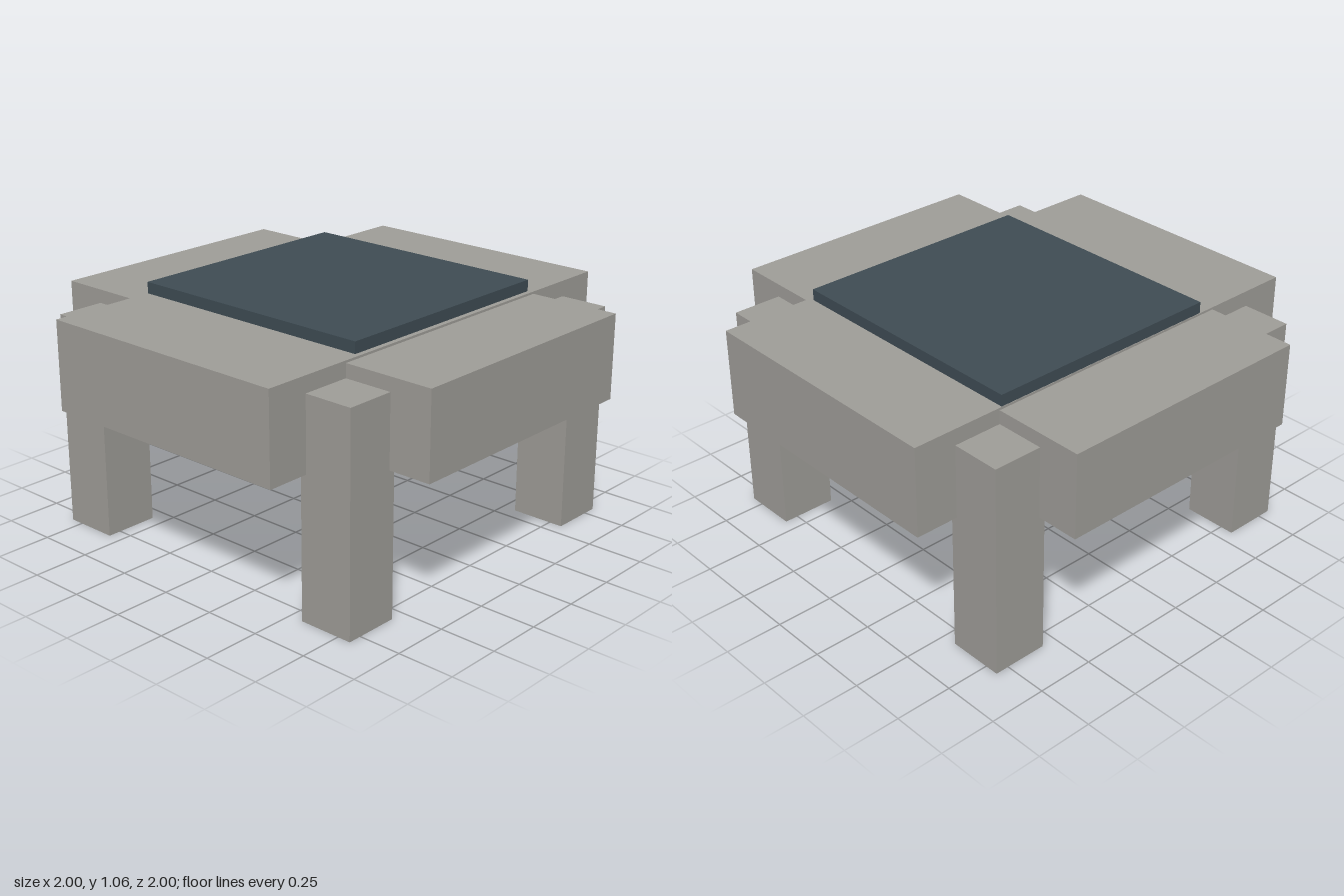
import * as THREE from 'three';

export function createModel() {
  const model = new THREE.Group();
  const stone = new THREE.MeshStandardMaterial({ name: 'warmGrey', color: 0xa09e99 });
  const slate = new THREE.MeshStandardMaterial({ name: 'darkSlate', color: 0x3f4c54 });

  // Box given by its lower and upper corners
  function block(name, material, [x0, y0, z0], [x1, y1, z1]) {
    const mesh = new THREE.Mesh(new THREE.BoxGeometry(x1 - x0, y1 - y0, z1 - z0), material);
    mesh.name = name;
    mesh.position.set((x0 + x1) / 2, (y0 + y1) / 2, (z0 + z1) / 2);
    model.add(mesh);
    return mesh;
  }

  // Two thick slabs crossing at the centre, one slightly taller
  block('lengthwiseSlab', stone, [-0.592, 0.62, -1], [0.592, 1.01, 1]);
  block('crosswiseSlab', stone, [-1, 0.63, -0.592], [1, 1, 0.592]);

  // Thin panel on top, a little off centre
  block('topPanel', slate, [-0.59, 1.01, -0.58], [0.57, 1.06, 0.515]);

  // Four square legs in the notches of the cross
  for (const [side, sx] of [['left', 1], ['right', -1]]) {
    for (const [end, sz] of [['Front', 1], ['Back', -1]]) {
      const leg = block(`${side}${end}Leg`, stone, [0.565, 0, 0.565], [0.81, 0.94, 0.81]);
      leg.position.x *= sx;
      leg.position.z *= sz;
    }
  }
  return model;
}
